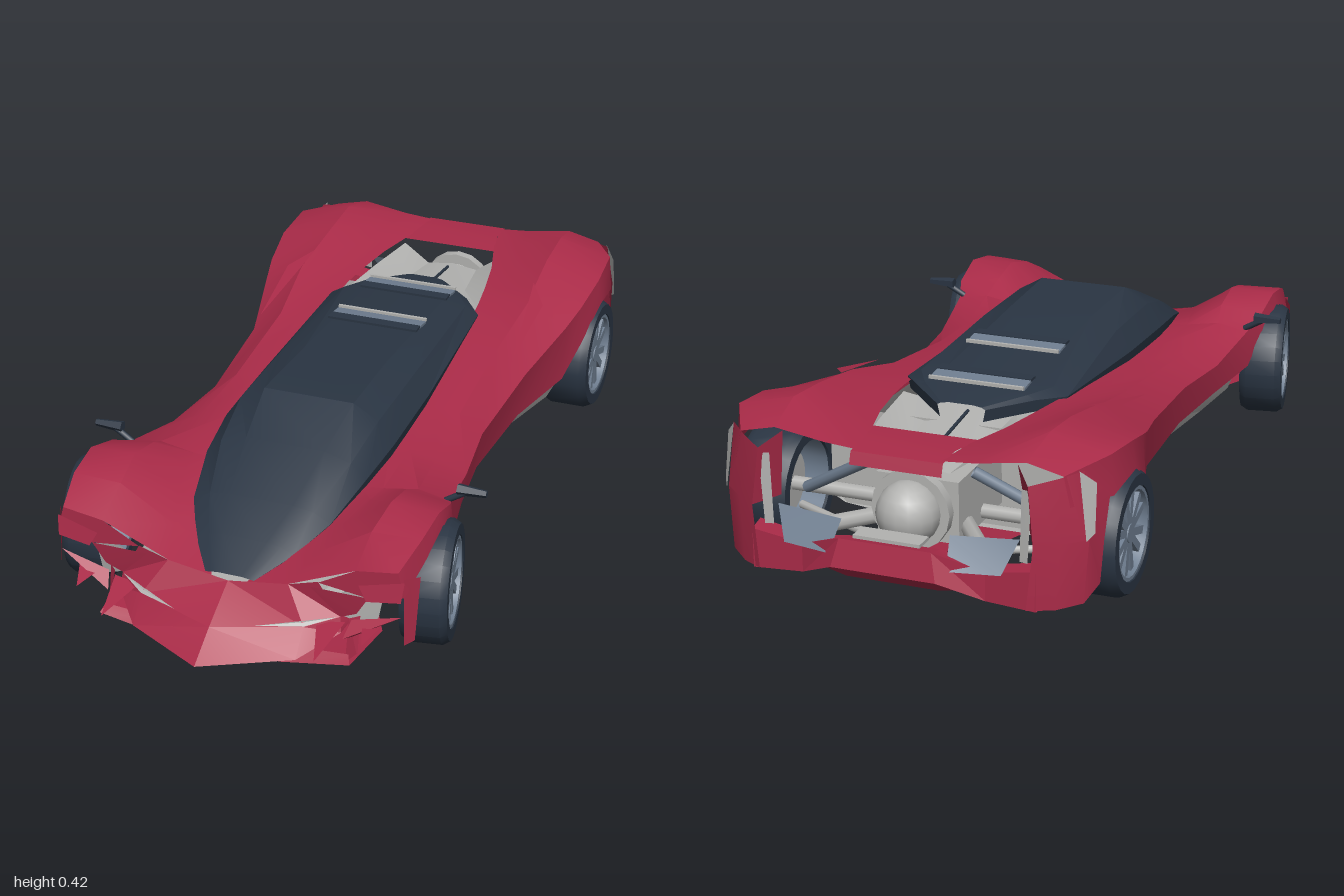
import * as THREE from 'three';
import { toCreasedNormals } from 'three/addons/utils/BufferGeometryUtils.js';

const paint = (name, color) => Object.assign(
  new THREE.MeshStandardMaterial({ color, side: THREE.DoubleSide }), { name });

export function createModel() {
  const red = paint('red paint', 0xaa2b48);
  const dark = paint('dark glass and rubber', 0x2a3543);
  const grey = paint('light grey metal', 0xb3b3b1);
  const slate = paint('slate alloy', 0x6f7e90);
  const car = new THREE.Group();
  car.name = 'sportsCar';

  const add = (name, geo, mat, parent = car) => {
    const m = new THREE.Mesh(geo, mat);
    m.name = name;
    parent.add(m);
    return m;
  };
  const build = (points, idx, crease) => {
    const g = new THREE.BufferGeometry();
    g.setAttribute('position', new THREE.Float32BufferAttribute(points.flat(), 3));
    g.setIndex(idx);
    return toCreasedNormals(g, crease);
  };
  // surface through rows of [x, y, z] points
  const grid = (rows, crease = 0.5) => {
    const n = rows[0].length, idx = [];
    for (let i = 0; i < rows.length - 1; i++)
      for (let j = 0; j < n - 1; j++) {
        const a = i * n + j, b = a + n;
        idx.push(a, b, a + 1, b, b + 1, a + 1);
      }
    return build(rows.flat(), idx, crease);
  };
  // flat plate from a fan of corners
  const plate = (...pts) => {
    const idx = [];
    for (let i = 1; i < pts.length - 1; i++) idx.push(0, i, i + 1);
    return build(pts, idx, 0.3);
  };
  const pair = (name, geo, mat) => {
    add(name + 'Left', geo, mat);
    add(name + 'Right', geo, mat).scale.x = -1;
  };
  // [z, x, y, x, y ...] -> row of points at constant z
  const section = ([z, ...p]) =>
    Array.from({ length: p.length / 2 }, (_, i) => [p[2 * i], p[2 * i + 1], z]);
  const mirrorRow = (row) => [...row.map(([x, y, z]) => [-x, y, z]), ...row.slice().reverse()];
  const rod = (name, a, b, r, mat) => add(name, new THREE.TubeGeometry(
    new THREE.LineCurve3(new THREE.Vector3(...a), new THREE.Vector3(...b)), 1, r, 8), mat);

  // body side: inner edge, crest, shoulder, lower edge with wheel arches
  const side = [
    [0.80, 0.04, 0.172, 0.31, 0.265, 0.41, 0.28, 0.425, 0.22],
    [0.70, 0.09, 0.20, 0.31, 0.31, 0.43, 0.315, 0.44, 0.265],
    [0.60, 0.14, 0.232, 0.32, 0.335, 0.435, 0.33, 0.445, 0.30],
    [0.50, 0.175, 0.255, 0.32, 0.315, 0.43, 0.30, 0.435, 0.255],
    [0.44, 0.185, 0.265, 0.33, 0.285, 0.41, 0.27, 0.415, 0.175],
    [0.25, 0.195, 0.28, 0.31, 0.268, 0.385, 0.235, 0.375, 0.155],
    [0.05, 0.20, 0.295, 0.30, 0.285, 0.36, 0.24, 0.347, 0.143],
    [-0.25, 0.20, 0.33, 0.30, 0.325, 0.378, 0.265, 0.36, 0.143],
    [-0.45, 0.185, 0.35, 0.32, 0.372, 0.425, 0.315, 0.42, 0.165],
    [-0.53, 0.175, 0.355, 0.315, 0.388, 0.442, 0.34, 0.448, 0.24],
    [-0.65, 0.155, 0.36, 0.31, 0.408, 0.455, 0.37, 0.465, 0.305],
    [-0.78, 0.12, 0.365, 0.31, 0.42, 0.45, 0.385, 0.458, 0.29],
    [-0.90, 0.10, 0.365, 0.30, 0.39, 0.385, 0.37, 0.40, 0.30],
  ];
  // a shallow valley runs between the inner edge and the crest
  const withValley = ([a, b, ...rest]) =>
    [a, [a[0] + 0.4 * (b[0] - a[0]), a[1] + 0.25 * (b[1] - a[1]), a[2]], b, ...rest];
  pair('bodySide', grid(side.map((r) => withValley(section(r)))), red);
  add('rearDeck', grid([[-0.75, 0.13, 0.363], [-0.84, 0.11, 0.368], [-0.91, 0.11, 0.364], [-0.92, 0.11, 0.335]]
    .map((r) => mirrorRow(section(r)))), red);
  pair('fenderFront', plate([0.22, 0.215, 0.80], [0.31, 0.265, 0.80], [0.41, 0.28, 0.80],
    [0.425, 0.22, 0.80], [0.34, 0.20, 0.80]), red);
  pair('shoulderBlade', plate([0.35, 0.32, -0.23], [0.31, 0.392, -0.53], [0.36, 0.37, -0.45]), red);

  // pointed nose: underside, edge, crease, hood line
  pair('nose', grid([
    [[0, 0.055, 0.70], [0.2, 0.06, 0.70], [0.27, 0.08, 0.70]],
    [[0, 0.06, 0.995], [0.2, 0.06, 0.89], [0.275, 0.095, 0.80]],
    [[0, 0.113, 0.91], [0.2, 0.117, 0.84], [0.27, 0.13, 0.79]],
    [[0, 0.172, 0.80], [0.148, 0.195, 0.80], [0.22, 0.217, 0.80]],
  ], 0.3), red);
  pair('noseSlit', plate([0.10, 0.121, 0.879], [0.20, 0.119, 0.842], [0.265, 0.132, 0.797], [0.20, 0.129, 0.838]), grey);
  pair('bumperCheek', plate([0.20, 0.20, 0.80], [0.34, 0.20, 0.80], [0.31, 0.15, 0.795], [0.27, 0.13, 0.79]), red);
  pair('headlightRecess', plate([0.26, 0.13, 0.78], [0.34, 0.09, 0.75], [0.36, 0.19, 0.75], [0.27, 0.19, 0.78]), grey);
  // front splitter with a raised lip
  add('splitter', grid([
    [0.82, 0.30, 0.055, 0.14, 0.044, 0, 0.044], [0.84, 0.31, 0.04, 0.14, 0.010, 0, 0.018],
    [0.68, 0.33, 0.04, 0.15, 0.014, 0, 0.02], [0.50, 0.24, 0.04, 0.14, 0.03, 0, 0.03],
    [0.36, 0.13, 0.05, 0.07, 0.048, 0, 0.048],
  ].map((r) => mirrorRow(section(r)))), red);
  add('splitterDuct', new THREE.BoxGeometry(0.44, 0.02, 0.02), grey).position.set(0, 0.05, 0.79);
  // fins and spikes around the front corners
  pair('lowerBlade', plate([0.42, 0.168, 0.80], [0.30, 0.135, 0.80], [0.29, 0.10, 0.83], [0.31, 0.105, 0.82]), red);
  pair('innerSpike', plate([0.22, 0.12, 0.81], [0.285, 0.125, 0.80], [0.26, 0.095, 0.93]), red);
  pair('outerSpike', plate([0.325, 0.13, 0.80], [0.375, 0.14, 0.80], [0.35, 0.12, 0.87]), red);
  pair('upperBlade', plate([0.425, 0.258, 0.80], [0.32, 0.235, 0.81], [0.34, 0.20, 0.815], [0.42, 0.21, 0.81]), red);
  pair('cornerFin', plate([0.42, 0.26, 0.79], [0.445, 0.25, 0.75], [0.44, 0.095, 0.77], [0.425, 0.095, 0.80]), red);
  pair('cornerStrut', plate([0.29, 0.13, 0.79], [0.31, 0.13, 0.77], [0.31, 0.03, 0.79], [0.295, 0.03, 0.83]), red);

  // canopy: waist, shoulder, roof; the lower edge tucks in below the waist
  const canopy = [
    [0.79, 0.06, 0.178, 0.045, 0.180, 0.03, 0.182],
    [0.70, 0.122, 0.208, 0.09, 0.222, 0.055, 0.227],
    [0.60, 0.172, 0.245, 0.13, 0.268, 0.08, 0.275],
    [0.45, 0.203, 0.288, 0.165, 0.325, 0.10, 0.345],
    [0.30, 0.218, 0.308, 0.178, 0.365, 0.115, 0.402],
    [0.05, 0.218, 0.32, 0.178, 0.37, 0.11, 0.398],
    [-0.38, 0.205, 0.347, 0.17, 0.367, 0.11, 0.375],
    [-0.45, 0.15, 0.355, 0.13, 0.365, 0.09, 0.370],
    [-0.54, 0.06, 0.350, 0.05, 0.355, 0.03, 0.358],
  ];
  add('canopy', grid(canopy.map(([z, x, y, ...rest]) =>
    mirrorRow(section([z, x - 0.006, y - 0.03, x, y, ...rest]))), 0.35), dark);
  for (const [z, y] of [[-0.185, 0.391], [-0.42, 0.377]]) {
    const louvre = add('roofLouvre', new THREE.BoxGeometry(0.24, 0.006, 0.045), slate);
    louvre.position.set(0, y, z);
    louvre.rotation.x = -0.12;
    add('louvreEdge', new THREE.BoxGeometry(0.24, 0.008, 0.008), grey).position.set(0, y + 0.002, z - 0.028);
    add('louvreHood', new THREE.BoxGeometry(0.24, 0.006, 0.03), dark).position.set(0, y + 0.005, z + 0.036);
  }

  // floor tub with rounded side sills: z and half width
  const tub = [[0.76, 0.25], [0.50, 0.28], [0.44, 0.38], [0.25, 0.362], [0.05, 0.337],
    [-0.25, 0.35], [-0.45, 0.40], [-0.54, 0.40]];
  add('floorTub', grid(tub.map(([z, w]) => mirrorRow(section(
    [z, w - 0.03, z > 0.45 ? 0.17 : 0.225, w, 0.155, 0.95 * w, 0.105, 0.76 * w, 0.065, 0.45 * w, 0.052]))), 0.7), grey);
  add('rearBulkhead', plate(...mirrorRow([[0.30, 0.31, -0.54], [0.40, 0.17, -0.54], [0.30, 0.065, -0.54]])), grey);

  // engine bay with a red diffuser panel below it
  add('engineCover', grid([
    [-0.44, 0.19, 0.33, 0.10, 0.315, 0, 0.325], [-0.62, 0.17, 0.33, 0.09, 0.295, 0, 0.31],
    [-0.78, 0.14, 0.335, 0.07, 0.285, 0, 0.295],
  ].map((r) => mirrorRow(section(r)))), grey);
  add('engineBlock', new THREE.BoxGeometry(0.2, 0.15, 0.26), grey).position.set(0, 0.2, -0.67);
  add('diffuser', grid([[-0.55, 0.16, 0.06], [-0.79, 0.13, 0.10]].map((r) => mirrorRow(section(r)))), red);
  rod('coverSpine', [0, 0.327, -0.50], [0, 0.301, -0.74], 0.004, dark);
  add('gearbox', new THREE.SphereGeometry(0.075, 16, 10), grey).position.set(0, 0.21, -0.85);
  const flange = add('gearboxFlange', new THREE.CylinderGeometry(0.095, 0.095, 0.025, 16), grey);
  flange.rotation.x = Math.PI / 2;
  flange.position.set(0, 0.21, -0.83);
  rod('rearAxle', [-0.38, 0.15, -0.655], [0.38, 0.15, -0.655], 0.018, grey);
  for (const s of [-1, 1]) {
    rod('damper', [s * 0.12, 0.29, -0.76], [s * 0.33, 0.16, -0.69], 0.014, slate);
    rod('rearWishbone', [s * 0.10, 0.11, -0.80], [s * 0.36, 0.10, -0.66], 0.01, grey);
    rod('exhaustPipe', [s * 0.08, 0.15, -0.72], [s * 0.21, 0.17, -0.92], 0.02, grey);
    rod('frontArm', [s * 0.24, 0.14, 0.60], [s * 0.40, 0.15, 0.595], 0.016, grey);
    rod('mirrorStalk', [s * 0.40, 0.275, 0.45], [s * 0.455, 0.308, 0.445], 0.008, dark);
  }

  // rear corners and bumper
  pair('rearCorner', grid([
    [[0.456, 0.30, -0.80], [0.42, 0.375, -0.865], [0.375, 0.365, -0.905], [0.32, 0.355, -0.945]],
    [[0.45, 0.20, -0.82], [0.435, 0.22, -0.875], [0.385, 0.22, -0.92], [0.335, 0.22, -0.955]],
    [[0.445, 0.10, -0.83], [0.425, 0.07, -0.88], [0.375, 0.065, -0.925], [0.32, 0.07, -0.96]],
  ]), red);
  pair('rearCornerStripe', plate([0.443, 0.345, -0.85], [0.413, 0.378, -0.878], [0.433, 0.22, -0.888], [0.446, 0.235, -0.868]), grey);
  pair('rearPillarInner', plate([0.32, 0.355, -0.945], [0.28, 0.385, -0.90], [0.30, 0.22, -0.88], [0.335, 0.22, -0.955]), red);
  pair('rearLightStrip', plate([0.30, 0.34, -0.93], [0.325, 0.34, -0.935], [0.315, 0.17, -0.935], [0.295, 0.17, -0.93]), grey);
  pair('rearBumper', grid([
    [[0.35, 0.16, -0.89], [0.22, 0.14, -0.90], [0.11, 0.17, -0.93], [0, 0.17, -0.93]],
    [[0.34, 0.16, -0.95], [0.22, 0.14, -0.945], [0.11, 0.185, -0.985], [0, 0.185, -0.985]],
    [[0.34, 0.065, -0.95], [0.22, 0.07, -0.945], [0.125, 0.12, -1.0], [0, 0.12, -1.0]],
    [[0.35, 0.07, -0.91], [0.22, 0.07, -0.89], [0.11, 0.08, -0.95], [0, 0.08, -0.95]],
  ], 0.3), red);
  pair('exhaustOutlet', plate([0.13, 0.205, -0.925], [0.29, 0.215, -0.915], [0.26, 0.14, -0.953], [0.14, 0.14, -0.975]), slate);
  add('bumperGrille', new THREE.BoxGeometry(0.16, 0.008, 0.05), grey).position.set(0, 0.19, -0.95);

  // door mirrors: slim tapered pods
  const pod = new THREE.CylinderGeometry(0.009, 0.015, 0.07, 5).rotateZ(-Math.PI / 2).translate(0.463, 0.308, 0.445);
  pair('mirror', toCreasedNormals(pod, 0.4), dark);

  // wheels: axle along x, outer face toward +x
  const makeWheel = (name, r, w) => {
    const g = new THREE.Group();
    g.name = name;
    const h = w / 2, k = r * 0.75;
    const turn = (pts) => toCreasedNormals(new THREE.LatheGeometry(
      pts.map((p) => new THREE.Vector2(...p)), 24).rotateZ(-Math.PI / 2), 0.6);
    add('tyre', turn([[k, -h], [r * 0.93, -h], [r, -h * 0.7], [r, h * 0.7], [r * 0.93, h], [k, h], [k, -h]]), dark, g);
    add('rimRing', turn([[k * 0.99, -h * 0.9], [k * 0.99, h * 0.95], [k * 0.91, h * 0.95], [k * 0.89, h * 0.6]]), slate, g);
    add('brakeDisc', new THREE.CylinderGeometry(k * 0.7, k * 0.7, 0.012, 20).rotateZ(Math.PI / 2), grey, g).position.x = -h * 0.1;
    add('hub', new THREE.CylinderGeometry(k * 0.2, k * 0.24, h, 10).rotateZ(-Math.PI / 2), slate, g).position.x = h * 0.35;
    for (let i = 0; i < 6; i++)
      for (const d of [-0.22, 0.22]) {
        const spoke = add('spoke', new THREE.BoxGeometry(0.014, k * 0.84, 0.019).translate(0, k * 0.52, 0), slate, g);
        spoke.position.x = h * 0.7;
        spoke.rotation.x = i * Math.PI / 3 + d;
      }
    return g;
  };
  for (const s of [-1, 1]) {
    const label = s > 0 ? 'Left' : 'Right';
    // the front wheels are steered slightly
    const front = makeWheel('frontWheel' + label, 0.146, 0.11);
    front.scale.x = s;
    front.rotation.y = 0.17;
    front.position.set(s * 0.42, 0.148, 0.595);
    const rear = makeWheel('rearWheel' + label, 0.148, 0.13);
    rear.scale.x = s;
    rear.position.set(s * 0.402, 0.15, -0.657);
    car.add(front, rear);
  }
  return car;
}
